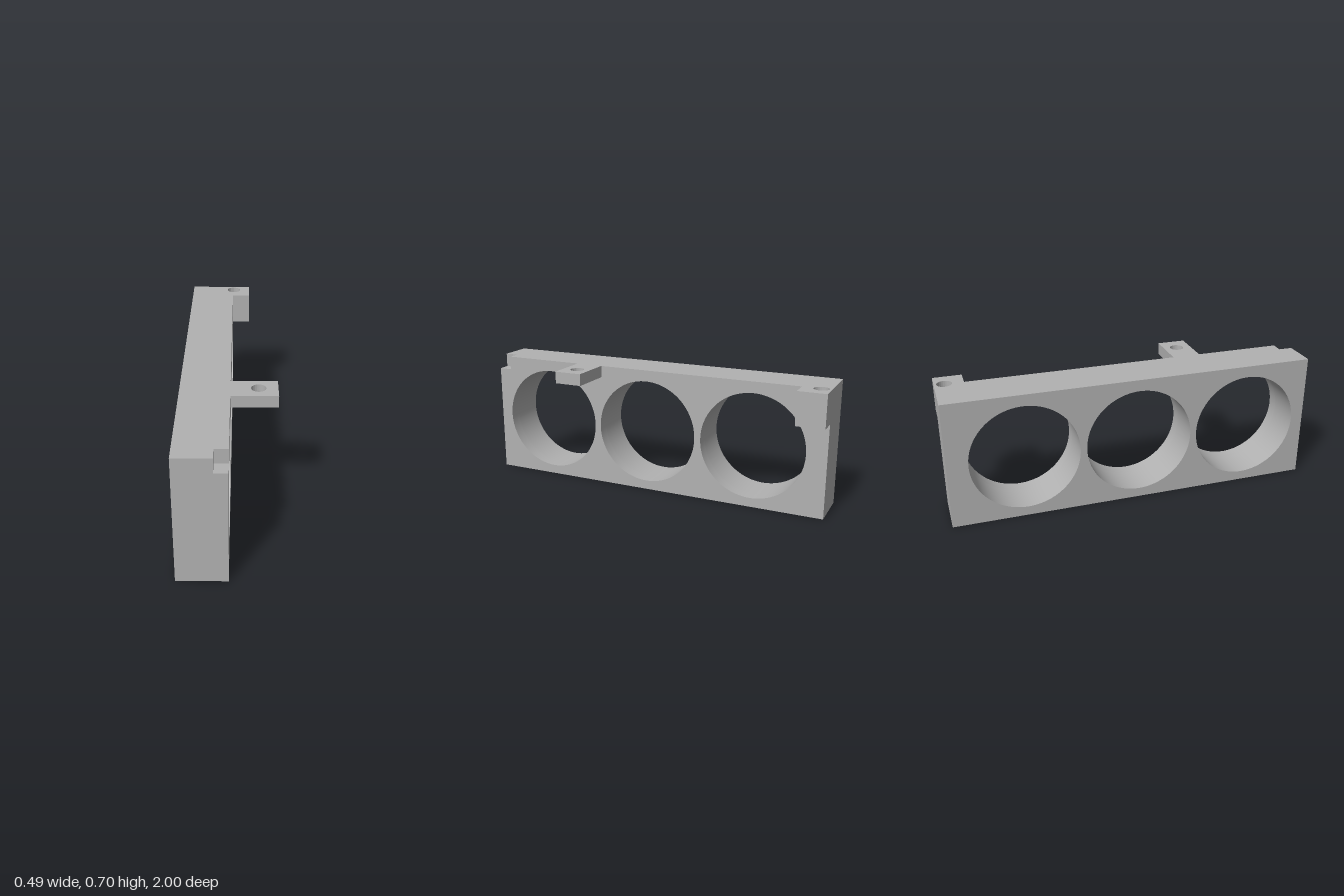
import * as THREE from 'three';
import { toCreasedNormals } from 'three/addons/utils/BufferGeometryUtils.js';

const BACK = -0.247, STEP = -0.06, FACE = 0.007, TOP = 0.697;
const CORNER = { z0: 0.847, z1: 1, floor: 0.517, pocket: 0.51, hx: 0.012, hz: 0.947, r: 0.04 };

function polygon(points) {
  return new THREE.Shape(points.map(([x, y]) => new THREE.Vector2(x, y)));
}

function addHole(shape, x, y, r) {
  const path = new THREE.Path();
  path.absarc(x, y, r, 0, Math.PI * 2, true);
  shape.holes.push(path);
}

function extrude(shape, depth) {
  return new THREE.ExtrudeGeometry(shape, { depth, bevelEnabled: false, curveSegments: 48 });
}

export function createModel() {
  const group = new THREE.Group();
  const grey = new THREE.MeshStandardMaterial({ color: 0xb2b2b2 });
  grey.name = 'grey';

  const add = (name, geometry) => {
    const mesh = new THREE.Mesh(toCreasedNormals(geometry, 0.5), grey);
    mesh.name = name;
    group.add(mesh);
  };

  // Profile in (-z, y), extruded along x, with the three large bores
  const slab = (name, points, x0, x1) => {
    const shape = polygon(points);
    for (const z of [0.64, 0.022, -0.597]) addHole(shape, -z, 0.343, 0.292);
    add(name, extrude(shape, x1 - x0).rotateY(Math.PI / 2).translate(x0, 0, 0));
  };

  // Plan in (x, -z), extruded along y
  const plate = (name, shape, y0, y1) =>
    add(name, extrude(shape, y1 - y0).rotateX(-Math.PI / 2).translate(0, y0, 0));

  // Main body: full layer, then a layer with the front notch and the lug seat
  slab('bodyBack', [[-1, 0], [1, 0], [1, TOP], [-1, TOP]], BACK, STEP);
  slab('bodyFace', [
    [-1, 0], [1, 0], [1, CORNER.pocket], [CORNER.z0, CORNER.pocket],
    [CORNER.z0, TOP], [-0.925, TOP], [-0.925, 0.62], [-1, 0.62],
  ], STEP, FACE);

  // Corner lug with a vertical hole straddling the body face
  const { z0, z1, hx, hz, r } = CORNER;
  const lug = polygon([[STEP, z0], [0.11, z0], [0.11, z1], [STEP, z1]]);
  addHole(lug, hx, hz, r);
  plate('cornerLug', lug, CORNER.floor, TOP);

  // Bottom of the hole, bitten slightly into the body below the lug
  const half = Math.acos((FACE - hx) / r);
  const seat = new THREE.Shape();
  seat.moveTo(STEP, z0);
  seat.lineTo(FACE, z0);
  seat.absarc(hx, hz, r, -half, half, true);
  seat.lineTo(FACE, z1);
  seat.lineTo(STEP, z1);
  plate('lugSeat', seat, CORNER.pocket, CORNER.floor);

  // Side tab with its screw hole
  const tab = polygon([[FACE, -0.457], [0.245, -0.457], [0.245, -0.303], [FACE, -0.303]]);
  addHole(tab, 0.147, -0.377, 0.038);
  plate('sideTab', tab, 0.632, TOP);

  return group;
}
